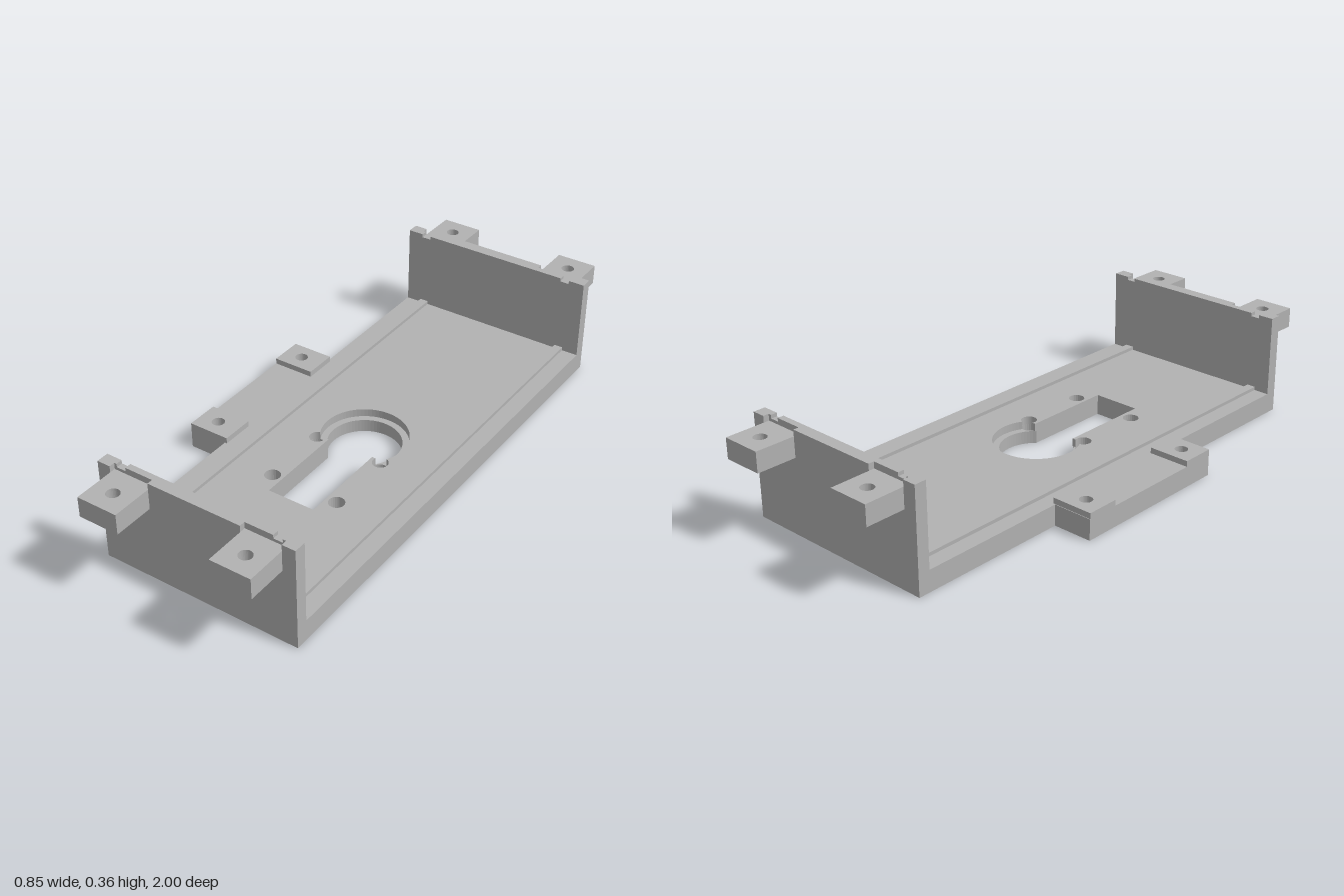
import * as THREE from 'three';

export function createModel() {
  const group = new THREE.Group();
  const grey = new THREE.MeshStandardMaterial({ color: 0xb2b2b2 });
  grey.name = 'grey plastic';

  const add = (name, geometry) => {
    const mesh = new THREE.Mesh(geometry, grey);
    mesh.name = name;
    group.add(mesh);
    return mesh;
  };
  const circle = (x, z, r, sides = 32) => {
    const pts = [];
    for (let i = 0; i < sides; i++) {
      const a = (i / sides) * Math.PI * 2;
      pts.push(new THREE.Vector2(x + r * Math.cos(a), z + r * Math.sin(a)));
    }
    return new THREE.Path(pts);
  };
  const polygon = (pts) => new THREE.Shape(pts.map(([x, y]) => new THREE.Vector2(x, y)));
  const rect = (x0, x1, z0, z1) => polygon([[x0, z0], [x1, z0], [x1, z1], [x0, z1]]);

  // Horizontal slab: plan drawn in x and z, filled between two heights
  const slab = (name, shape, holes, y0, y1) => {
    shape.holes.push(...holes);
    const g = new THREE.ExtrudeGeometry(shape, { depth: y1 - y0, bevelEnabled: false });
    g.rotateX(Math.PI / 2).translate(0, y1, 0);
    return add(name, g);
  };

  const X0 = -0.283, X1 = 0.422, Z = 0.862, TOP = 0.357, FLOOR = 0.073;
  const CX = 0.07, R = 0.124, SLOT = 0.085, SLOT_END = 0.41;
  const SCREW_X = 0.123;

  // Floor outline with the side ear
  const floorShape = () => polygon([
    [X0, -Z], [X1, -Z], [X1, Z], [X0, Z],
    [X0, 0.29], [-0.423, 0.29], [-0.423, -0.297], [X0, -0.297],
  ]);

  // Keyhole: a round opening running into a straight slot
  const keyhole = () => {
    const pts = [new THREE.Vector2(CX - SLOT, SLOT_END)];
    const a = Math.acos(SLOT / R);
    for (let i = 0; i <= 56; i++) {
      const t = Math.PI - a + (i / 56) * (Math.PI + 2 * a);
      pts.push(new THREE.Vector2(CX + R * Math.cos(t), R * Math.sin(t)));
    }
    pts.push(new THREE.Vector2(CX + SLOT, SLOT_END));
    return new THREE.Path(pts);
  };

  // Upper keyhole: wider round seat, merged with the two nearest screw recesses
  const wideKeyhole = () => {
    const right = [[SLOT, SLOT_END], [SLOT, 0.085]];
    for (let i = 0; i <= 20; i++) {
      const t = Math.PI + 0.38 - (i / 20) * 4.83;
      right.push([SCREW_X + 0.027 * Math.cos(t), 0.095 + 0.027 * Math.sin(t)]);
    }
    const a0 = Math.atan2(0.069, 0.13);
    for (let i = 1; i <= 24; i++) {
      const t = a0 - (i / 24) * (a0 + Math.PI / 2);
      right.push([0.147 * Math.cos(t), 0.147 * Math.sin(t)]);
    }
    const left = right.slice(0, -1).reverse().map(([x, z]) => [-x, z]);
    return new THREE.Path([...right, ...left].map(([x, z]) => new THREE.Vector2(CX + x, z)));
  };

  const screwHoles = (r, rows) =>
    rows.flatMap((z) => [-1, 1].map((s) => circle(CX + s * SCREW_X, z, r, 24)));
  const EAR_Z = [-0.237, 0.232];
  const earHoles = (r) => EAR_Z.map((z) => circle(-0.355, z, r));

  // Floor in three levels, so holes are stepped
  slab('floorBottom', floorShape(),
    [keyhole(), ...screwHoles(0.016, [0.095, 0.34]), ...earHoles(0.036)], 0, 0.02);
  slab('floorMiddle', floorShape(),
    [keyhole(), ...screwHoles(0.027, [0.095, 0.34]), ...earHoles(0.036)], 0.02, 0.045);
  slab('floorTop', floorShape(),
    [wideKeyhole(), ...screwHoles(0.027, [0.34]), ...earHoles(0.022)], 0.045, FLOOR);

  // Raised pads on the ear
  for (const z of EAR_Z)
    slab('earPad', rect(-0.423, -0.275, z - 0.058, z + 0.058),
      [circle(-0.355, z, 0.022)], FLOOR, 0.093);

  // Long ridges on the floor
  for (const x of [-0.2125, 0.349]) {
    const ridge = add('floorRidge', new THREE.BoxGeometry(0.031, 0.012, 1.64));
    ridge.position.set(x, FLOOR + 0.006, 0);
  }

  // Wall layer with cuts in its top edge
  const wall = (name, cuts, depthY, z0, z1) => {
    const pts = [[X0, FLOOR], [X1, FLOOR], [X1, TOP]];
    for (const [a, b] of [...cuts].reverse())
      pts.push([b, TOP], [b, depthY], [a, depthY], [a, TOP]);
    pts.push([X0, TOP]);
    const g = new THREE.ExtrudeGeometry(polygon(pts), { depth: z1 - z0, bevelEnabled: false });
    add(name, g.translate(0, 0, z0));
  };
  const tabs = [[-0.237, -0.095], [0.235, 0.376]];
  const notches = [[-0.228, -0.195], [0.333, 0.365]];

  for (const s of [-1, 1]) {
    const span = (a, b) => (s > 0 ? [a, b] : [-b, -a]);
    wall('endWallInner', notches, 0.345, ...span(0.82, 0.842));
    wall('endWallOuter', tabs, 0.335, ...span(0.842, Z));

    // Mounting tabs: round hole above, six-sided nut pocket below
    for (const [a, b] of tabs) {
      const x = (a + b) / 2, z = s * 0.93;
      const plan = () => rect(a, b, ...span(Z, 1));
      slab('mountingTabTop', plan(), [circle(x, z, 0.022)], 0.298, 0.335);
      slab('mountingTabNutPocket', plan(), [circle(x, z, 0.04, 6)], 0.265, 0.298);
    }
  }
  return group;
}
